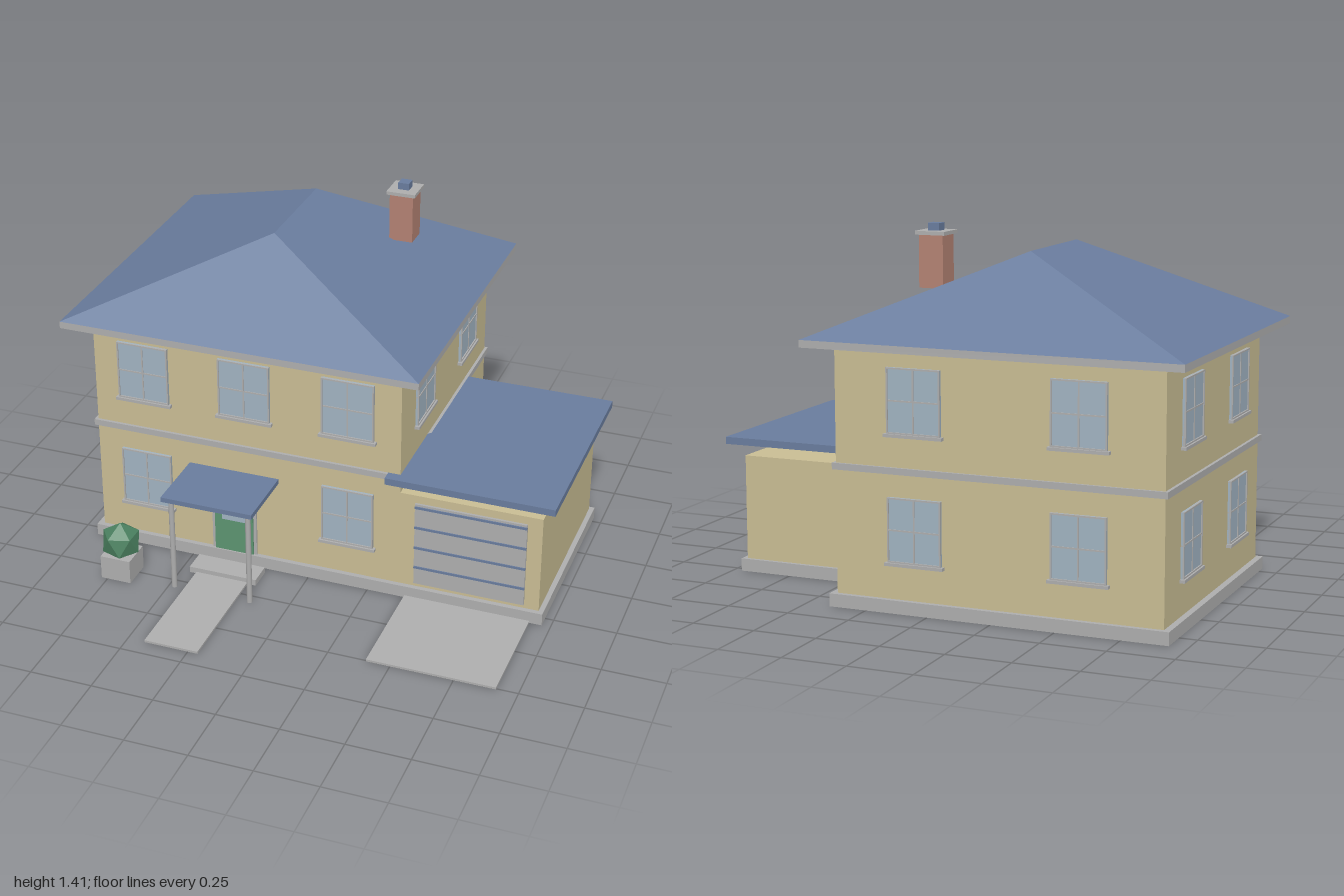
import * as THREE from 'three';

const mat = (name, color) => {
  const m = new THREE.MeshStandardMaterial({ color });
  m.name = name;
  return m;
};

export function createModel() {
  const house = new THREE.Group();
  house.name = 'house';

  const wall = mat('sand wall', 0xc8bc93);
  const trim = mat('grey trim', 0xadadad);
  const slate = mat('blue slate', 0x697c9d);
  const glass = mat('window glass', 0xa0b2c0);
  const green = mat('door green', 0x5c9370);
  const leaf = mat('leaf green', 0x4b8160);
  leaf.flatShading = true;
  const brick = mat('brick', 0xb28172);

  // Box given by its limits on each axis
  function box(name, m, x0, x1, y0, y1, z0, z1, parent = house) {
    const mesh = new THREE.Mesh(new THREE.BoxGeometry(x1 - x0, y1 - y0, z1 - z0), m);
    mesh.position.set((x0 + x1) / 2, (y0 + y1) / 2, (z0 + z1) / 2);
    mesh.name = name;
    parent.add(mesh);
    return mesh;
  }

  // Footings, walls and the band between floors
  box('mainFooting', trim, -0.93, 0.4, 0, 0.05, -0.86, 0.3);
  box('garageFooting', trim, 0.4, 0.965, 0, 0.05, -0.53, 0.3);
  box('mainWalls', wall, -0.905, 0.375, 0.05, 0.98, -0.84, 0.28);
  box('garageWalls', wall, 0.375, 0.945, 0.05, 0.465, -0.515, 0.28);
  box('floorBand', trim, -0.917, 0.387, 0.52, 0.545, -0.85, 0.292);

  // Roofs
  box('eaves', trim, -1, 0.47, 0.98, 1.008, -0.935, 0.375);
  house.add(hipRoof(slate));
  box('garageRoof', slate, 0.325, 1, 0.517, 0.545, -0.57, 0.325);

  // Chimney
  box('chimneyStack', brick, 0.068, 0.165, 1.17, 1.368, -0.555, -0.458);
  box('chimneyCap', trim, 0.057, 0.176, 1.368, 1.382, -0.566, -0.447);
  box('chimneyPot', slate, 0.094, 0.139, 1.382, 1.41, -0.529, -0.484);

  // Window facing +z locally, turned to suit its wall
  function addWindow(x, y, z, turn) {
    const g = new THREE.Group();
    g.name = 'window';
    const w = 0.107, h = 0.122, t = 0.006;
    box('glassPane', glass, -w, w, -h, h, 0, 0.008, g);
    for (const s of [-1, 1]) {
      const a = s * (w - t / 2), b = s * (h - t / 2);
      box('frameSide', trim, a - t / 2, a + t / 2, -h, h, 0, 0.013, g);
      box('frameRail', trim, -w, w, b - t / 2, b + t / 2, 0, 0.013, g);
    }
    box('uprightBar', trim, -0.003, 0.003, -h, h, 0, 0.011, g);
    box('crossBar', trim, -w, w, -0.003, 0.003, 0, 0.011, g);
    box('sill', trim, -0.117, 0.117, -h - 0.012, -h, 0, 0.02, g);
    g.position.set(x, y, z);
    g.rotation.y = turn;
    house.add(g);
  }
  for (const y of [0.312, 0.793]) {
    for (const x of [-0.695, 0.16]) addWindow(x, y, 0.28, 0);
    for (const x of [-0.585, 0.055]) addWindow(x, y, -0.84, Math.PI);
    for (const z of [0, -0.56]) {
      addWindow(-0.905, y, z, -Math.PI / 2);
      if (y > 0.5 || z < 0) addWindow(0.375, y, z, Math.PI / 2);
    }
  }
  addWindow(-0.268, 0.793, 0.28, 0);

  // Front door
  box('doorFrame', trim, -0.415, -0.225, 0.05, 0.352, 0.28, 0.288);
  box('doorLeaf', green, -0.402, -0.238, 0.05, 0.338, 0.286, 0.294);
  box('doorGlass', glass, -0.37, -0.27, 0.195, 0.295, 0.292, 0.297);
  const knob = new THREE.Mesh(new THREE.SphereGeometry(0.007, 10, 8), trim);
  knob.name = 'doorKnob';
  knob.position.set(-0.263, 0.17, 0.299);
  house.add(knob);

  // Porch canopy, posts, step and path
  box('canopy', slate, -0.51, -0.13, 0.4, 0.42, 0.28, 0.565);
  for (const x of [-0.477, -0.155]) {
    const post = new THREE.Mesh(new THREE.CylinderGeometry(0.011, 0.011, 0.4, 10), trim);
    post.name = 'porchPost';
    post.position.set(x, 0.2, 0.54);
    house.add(post);
  }
  box('doorStep', trim, -0.46, -0.175, 0, 0.026, 0.33, 0.428);
  box('path', trim, -0.43, -0.21, 0, 0.009, 0.43, 0.93);
  box('driveway', trim, 0.405, 0.915, 0, 0.009, 0.3, 0.755);

  // Garage door with dark grooves
  box('garageDoor', trim, 0.438, 0.886, 0.068, 0.432, 0.28, 0.29);
  for (const y of [0.145, 0.235, 0.327, 0.418]) {
    box('garageGroove', slate, 0.438, 0.886, y - 0.005, y + 0.005, 0.287, 0.294);
  }

  // Planter and shrub
  box('planter', trim, -0.776, -0.65, 0, 0.1, 0.458, 0.584);
  const bushGeo = new THREE.IcosahedronGeometry(0.083, 0);
  bushGeo.rotateZ(Math.atan(2 / (1 + Math.sqrt(5))));
  const bush = new THREE.Mesh(bushGeo, leaf);
  bush.name = 'shrub';
  bush.position.set(-0.713, 0.15, 0.521);
  house.add(bush);

  return house;
}

// Hipped roof with a ridge running front to back
function hipRoof(material) {
  const a = [-1, 1.008, 0.375], b = [0.47, 1.008, 0.375];
  const c = [0.47, 1.008, -0.935], d = [-1, 1.008, -0.935];
  const f = [-0.265, 1.32, -0.05], r = [-0.265, 1.32, -0.512];
  const faces = [a, b, f, b, c, r, b, r, f, c, d, r, d, a, f, d, f, r];
  const geo = new THREE.BufferGeometry();
  geo.setAttribute('position', new THREE.Float32BufferAttribute(faces.flat(), 3));
  geo.computeVertexNormals();
  const mesh = new THREE.Mesh(geo, material);
  mesh.name = 'hipRoof';
  return mesh;
}
